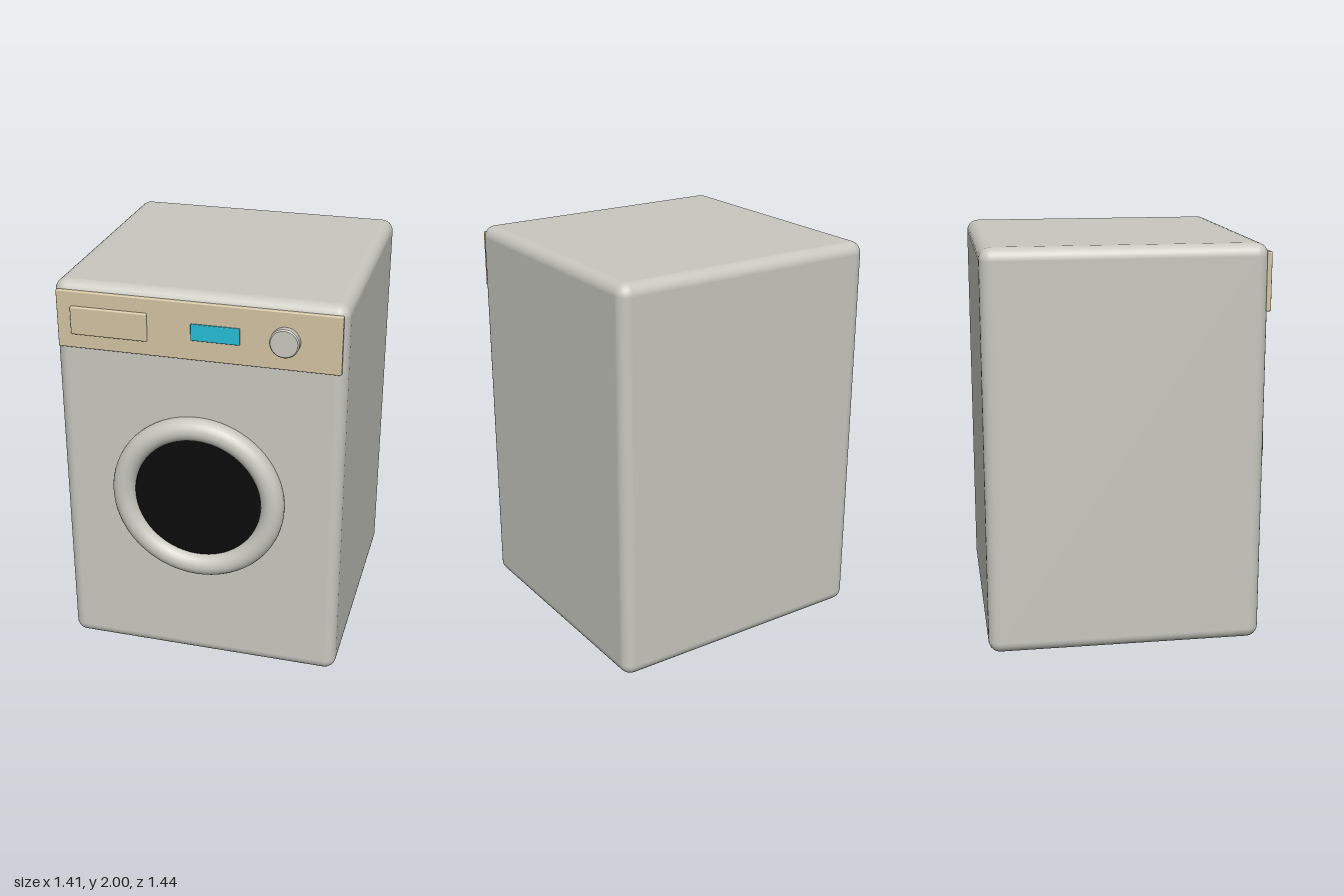
import * as THREE from 'three';
import { RoundedBoxGeometry } from 'three/addons/geometries/RoundedBoxGeometry.js';

const material = (name, color) => {
  const m = new THREE.MeshStandardMaterial({ color });
  m.name = name;
  return m;
};

export function createModel() {
  const enamel = material('enamel', 0xc8c8c0);
  const beige = material('beige', 0xd2c2a2);
  const cyan = material('cyan', 0x25bcd4);
  const black = material('black', 0x0a0a0a);

  const group = new THREE.Group();
  group.name = 'washingMachine';

  const add = (name, geometry, mat, x, y, z) => {
    const mesh = new THREE.Mesh(geometry, mat);
    mesh.name = name;
    mesh.position.set(x, y, z);
    group.add(mesh);
    return mesh;
  };
  // Rounded box given by its x, y and z ranges
  const block = (name, mat, [x0, x1], [y0, y1], [z0, z1], radius) =>
    add(name, new RoundedBoxGeometry(x1 - x0, y1 - y0, z1 - z0, 4, radius), mat,
      (x0 + x1) / 2, (y0 + y1) / 2, (z0 + z1) / 2);

  // Cabinet
  block('cabinet', enamel, [-0.705, 0.705], [0, 2], [-0.722, 0.643], 0.06);

  // Control panel with drawer and display
  block('controlPanel', beige, [-0.683, 0.683], [1.675, 1.96], [0.633, 0.657], 0.006);
  block('detergentDrawer', beige, [-0.613, -0.237], [1.747, 1.887], [0.64, 0.67], 0.008);
  block('display', cyan, [-0.025, 0.21], [1.777, 1.858], [0.64, 0.668], 0.004);

  // Programme knob: turned profile with a small bevel
  const knobProfile = [[0, 0], [0.07, 0], [0.07, 0], [0.07, 0.043], [0.07, 0.043],
    [0.064, 0.05], [0.064, 0.05], [0, 0.05]].map(([r, h]) => new THREE.Vector2(r, h));
  add('knob', new THREE.LatheGeometry(knobProfile, 40), enamel, 0.422, 1.817, 0.642)
    .rotation.x = Math.PI / 2;

  // Door ring and dark glass
  add('doorRing', new THREE.TorusGeometry(0.376, 0.058, 24, 72), enamel, 0, 0.945, 0.664);
  add('doorGlass', new THREE.CylinderGeometry(0.34, 0.34, 0.03, 64), black, 0, 0.945, 0.657)
    .rotation.x = Math.PI / 2;

  return group;
}
